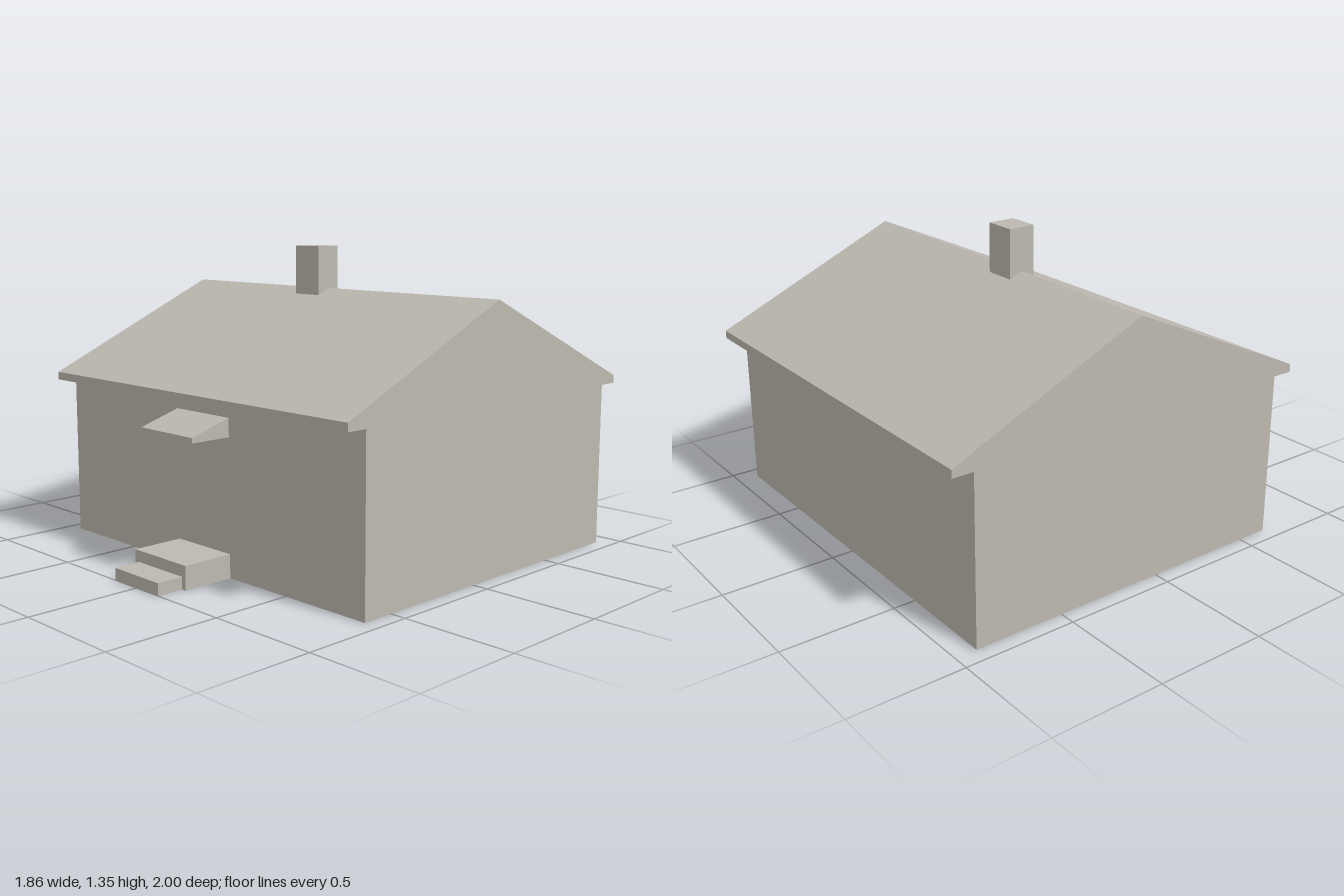
import * as THREE from 'three';

const warmGrey = new THREE.MeshStandardMaterial({ color: 0xbdb9b0, side: THREE.DoubleSide });
warmGrey.name = 'warmGrey';

const HALF = 0.93;                      // half length of the house
const FRONT = 0.645, BACK = -0.905;     // wall planes
const EAVE_F = 0.74, EAVE_B = -1;       // eave planes
const SOFFIT = 0.73, EAVE = 0.765;
const RIDGE_Y = 1.155, RIDGE_Z = -0.13;
const CH = { x0: -0.178, x1: -0.033, f: -0.065, b: -0.19, top: 1.345 };

// Height of the roof surface at depth z
function roofY(z) {
  const eave = z > RIDGE_Z ? EAVE_F : EAVE_B;
  return RIDGE_Y + (EAVE - RIDGE_Y) * (z - RIDGE_Z) / (eave - RIDGE_Z);
}

// Open strip: a [z, y] profile swept from x0 to x1
function sweep(profile, x0, x1) {
  const out = [];
  for (let i = 0; i + 1 < profile.length; i++) {
    const [az, ay] = profile[i], [bz, by] = profile[i + 1];
    out.push(x0, ay, az, x1, ay, az, x1, by, bz, x0, ay, az, x1, by, bz, x0, by, bz);
  }
  return out;
}

// End faces at x0 and x1 filling a [z, y] outline
function ends(outline, x0, x1) {
  const pts = outline.map(([z, y]) => new THREE.Vector2(z, y));
  const out = [];
  for (const face of THREE.ShapeUtils.triangulateShape(pts, [])) {
    for (const i of face) out.push(x0, pts[i].y, pts[i].x);
    for (const i of [...face].reverse()) out.push(x1, pts[i].y, pts[i].x);
  }
  return out;
}

function addMesh(group, name, geometry) {
  const mesh = new THREE.Mesh(geometry, warmGrey);
  mesh.name = name;
  group.add(mesh);
  return mesh;
}

function addShell(group, name, ...lists) {
  const g = new THREE.BufferGeometry();
  g.setAttribute('position', new THREE.Float32BufferAttribute(lists.flat(), 3));
  g.computeVertexNormals();
  addMesh(group, name, g);
}

// Upright panel in x and y with a notch in its bottom edge
function notchedPanel(halfW, height, notchW, notchH) {
  return new THREE.Shape([
    [-halfW, 0], [-notchW, 0], [-notchW, notchH], [notchW, notchH],
    [notchW, 0], [halfW, 0], [halfW, height], [-halfW, height],
  ].map(([x, y]) => new THREE.Vector2(x, y)));
}

export function createModel() {
  const house = new THREE.Group();
  house.name = 'house';

  const stepW = 0.167, stepH = 0.103, stepZ = 0.88;
  const lowW = 0.144, lowH = 0.053;
  const hoodTop = 0.675, hoodLow = 0.595;

  // Front wall, open to the porch step and the door hood
  const front = notchedPanel(HALF, SOFFIT, stepW, stepH);
  front.holes.push(new THREE.Path([
    [-stepW, hoodLow], [-stepW, hoodTop], [stepW, hoodTop], [stepW, hoodLow],
  ].map(([x, y]) => new THREE.Vector2(x, y))));
  addMesh(house, 'frontWall', new THREE.ShapeGeometry(front)).position.z = FRONT;
  addShell(house, 'backWall', sweep([[BACK, SOFFIT], [BACK, 0]], -HALF, HALF));

  // Hollow eaves and the gable ends that close them
  const frontEave = [[FRONT, SOFFIT], [EAVE_F, SOFFIT], [EAVE_F, EAVE]];
  const backEave = [[EAVE_B, EAVE], [EAVE_B, SOFFIT], [BACK, SOFFIT]];
  const ridge = [RIDGE_Z, RIDGE_Y];
  addShell(house, 'eaves', sweep(frontEave, -HALF, HALF), sweep(backEave, -HALF, HALF));
  addShell(house, 'gableWalls',
    ends([[FRONT, 0], ...frontEave, ridge, ...backEave, [BACK, 0]], -HALF, HALF));

  // Roof slopes, open under the chimney
  const slopes = [[EAVE_F, EAVE], ridge, [EAVE_B, EAVE]];
  const chimneyF = [CH.f, roofY(CH.f)], chimneyB = [CH.b, roofY(CH.b)];
  addShell(house, 'roof',
    sweep(slopes, -HALF, CH.x0),
    sweep(slopes, CH.x1, HALF),
    sweep([slopes[0], chimneyF], CH.x0, CH.x1),
    sweep([chimneyB, slopes[2]], CH.x0, CH.x1));

  // Chimney astride the ridge
  const stack = [chimneyF, [CH.f, CH.top], [CH.b, CH.top], chimneyB];
  addShell(house, 'chimney',
    sweep(stack, CH.x0, CH.x1), ends([...stack, ridge], CH.x0, CH.x1));

  // Door hood
  const hood = [[FRONT, hoodLow], [0.835, hoodLow], [0.835, 0.617], [FRONT, hoodTop]];
  addShell(house, 'doorHood', sweep(hood, -stepW, stepW), ends(hood, -stepW, stepW));

  // Porch steps, hollow underneath
  const steps = new THREE.Group();
  steps.name = 'porchSteps';
  house.add(steps);
  addShell(steps, 'upperStep',
    sweep([[stepZ, stepH], [FRONT, stepH]], -stepW, stepW),
    ends([[stepZ, 0], [stepZ, stepH], [FRONT, stepH], [FRONT, 0]], -stepW, stepW));
  const riser = new THREE.ShapeGeometry(notchedPanel(stepW, stepH, lowW, lowH));
  addMesh(steps, 'upperRiser', riser).position.z = stepZ;
  const low = [[1, 0], [1, lowH], [stepZ, lowH]];
  addShell(steps, 'lowerStep',
    sweep(low, -lowW, lowW), ends([...low, [stepZ, 0]], -lowW, lowW));

  return house;
}
